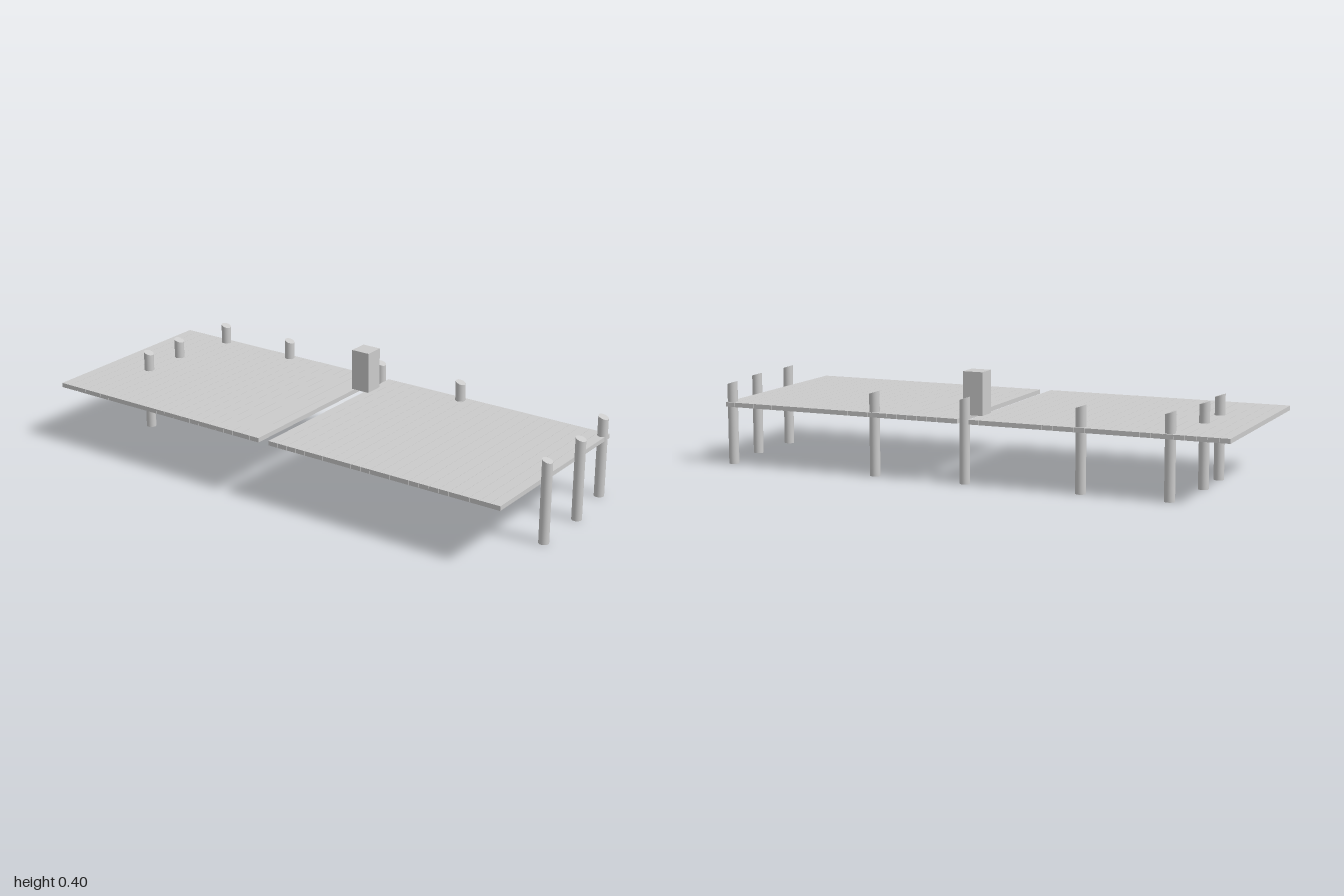
import * as THREE from 'three';

const grey = new THREE.MeshStandardMaterial({ color: 0xcccccc });
const WIDTH = 0.77, DECK_Y = 0.2285, DECK_T = 0.017;
const PITCH = 0.04, GAP = 0.001, PLANKS = 24;
const POST_R = 0.019, POST_H = 0.3085, SLOPE = 0.33;

// One deck section made of planks laid side by side across x
function createDeck(name, zBack) {
  const deck = new THREE.Group();
  deck.name = name;
  const geo = new THREE.BoxGeometry(WIDTH, DECK_T, PITCH - GAP);
  for (let i = 0; i < PLANKS; i++) {
    const plank = new THREE.Mesh(geo, grey);
    plank.name = 'plank';
    plank.position.set(0, DECK_Y, zBack + PITCH * (i + 0.5));
    deck.add(plank);
  }
  return deck;
}

// Round post whose top is cut at a slant, falling towards the front
function createPostGeometry() {
  const geo = new THREE.CylinderGeometry(POST_R, POST_R, POST_H, 24);
  geo.translate(0, POST_H / 2, 0);
  const pos = geo.attributes.position, nor = geo.attributes.normal;
  const cut = new THREE.Vector3(0, 1, SLOPE).normalize();
  for (let i = 0; i < pos.count; i++) {
    if (pos.getY(i) < POST_H / 2) continue;
    pos.setY(i, POST_H - SLOPE * pos.getZ(i));
    if (nor.getY(i) > 0.5) nor.setXYZ(i, cut.x, cut.y, cut.z);
  }
  return geo;
}

export function createModel() {
  const model = new THREE.Group();
  model.name = 'dock';

  // Two deck sections with a narrow gap between them
  model.add(createDeck('backDeck', -1), createDeck('frontDeck', 0.004));

  // Posts along the left edge, the front end and the back end
  const postGeo = createPostGeometry();
  const addPosts = (name, places) => {
    for (const [x, z] of places) {
      const post = new THREE.Mesh(postGeo, grey);
      post.name = name;
      post.position.set(x, 0, z);
      model.add(post);
    }
  };
  addPosts('sidePost', [-0.781, -0.456, -0.013, 0.348, 0.949].map((z) => [0.358, z]));
  addPosts('frontPost', [[-0.107, 0.981], [0.129, 0.981]]);
  addPosts('backPost', [[-0.076, -0.823], [0.109, -0.823]]);

  // Upright crate standing over the gap
  const crate = new THREE.Mesh(new THREE.BoxGeometry(0.076, 0.158, 0.076), grey);
  crate.name = 'crate';
  crate.position.set(0.254, DECK_Y + DECK_T / 2 + 0.079, -0.014);
  model.add(crate);

  return model;
}
